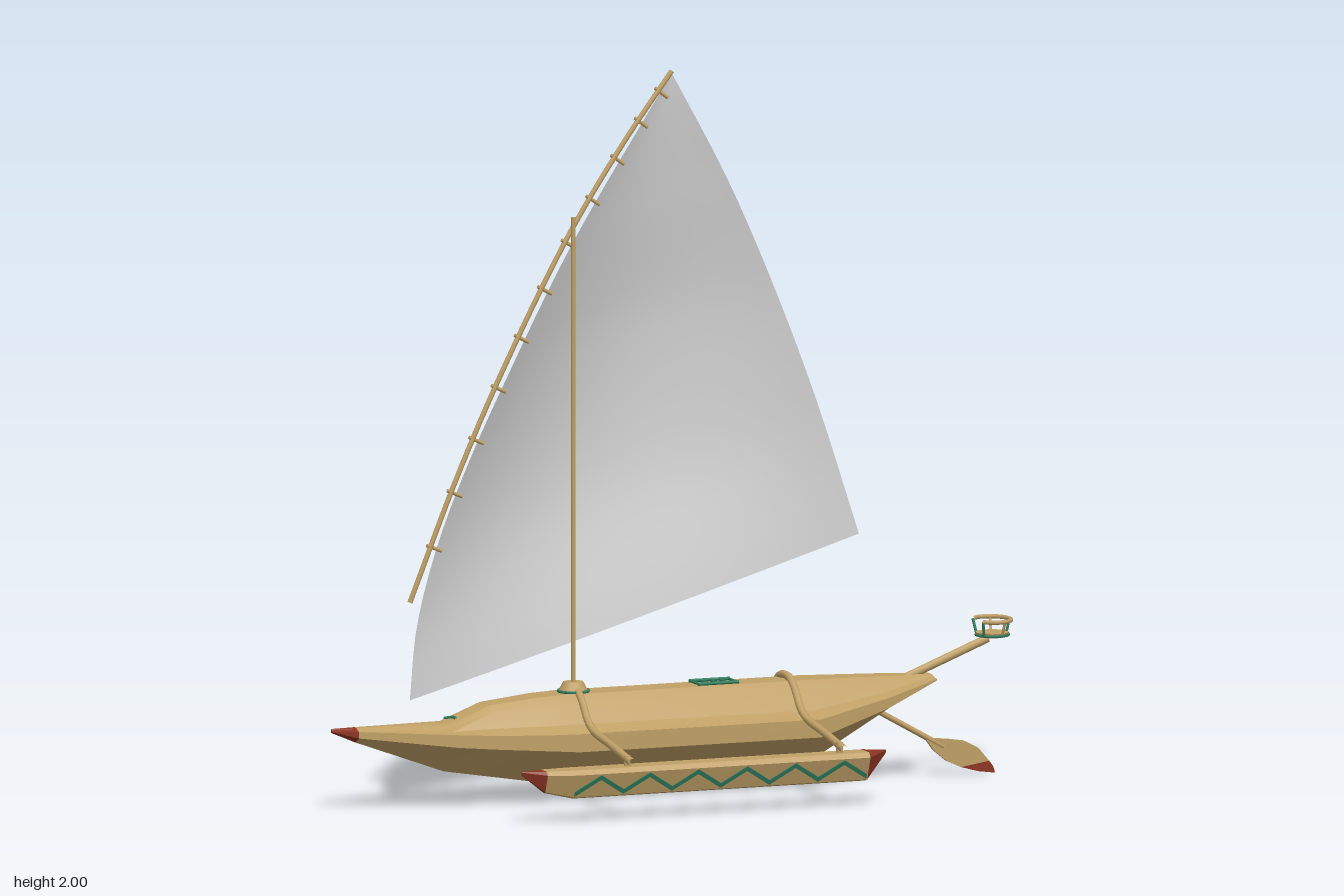
import * as THREE from 'three';
import { toCreasedNormals } from 'three/addons/utils/BufferGeometryUtils.js';

const paint = (name, color) => Object.assign(new THREE.MeshStandardMaterial({ color }), { name });
const V = (x, y, z) => new THREE.Vector3(x, y, z);
const MID = -0.11; // centre plane of the main hull

// Skin a row of closed rings (ordered along +x) and cap both ends
function loft(rings) {
  const n = rings[0].length, last = (rings.length - 1) * n, index = [];
  for (let i = 0; i < rings.length - 1; i++) {
    for (let j = 0; j < n; j++) {
      const a = i * n + j, b = i * n + (j + 1) % n;
      index.push(a, b, a + n, b, b + n, a + n);
    }
  }
  for (let j = 1; j < n - 1; j++) {
    index.push(0, j + 1, j);
    index.push(last, last + j, last + j + 1);
  }
  const g = new THREE.BufferGeometry();
  g.setAttribute('position', new THREE.Float32BufferAttribute(rings.flat(2), 3));
  g.setIndex(index);
  return toCreasedNormals(g, 0.45);
}

// Mirror a half profile [halfWidth, y] (keel first) into a full ring
function ring(x, z, half) {
  const up = half.map(([w, y]) => [x, y, z - w]);
  const down = half.slice(1).reverse().map(([w, y]) => [x, y, z + w]);
  return [...up, ...down];
}

const hullRing = ([x, w, keel, chine, rail, deck]) => {
  const h = (t) => rail + (deck - rail) * t;
  return ring(x, MID, [[0, keel], [w, chine], [w, rail], [w * 0.68, h(0.2)], [w * 0.45, h(0.75)], [w * 0.28, deck]]);
};

const floatRing = ([x, w, low, high]) => {
  const h = (t) => low + (high - low) * t;
  return ring(x, 0.29, [[0, low], [w * 0.375, h(0.06)], [w, h(0.84)], [w * 0.75, high]]);
};

export function createModel() {
  const boat = new THREE.Group();
  boat.name = 'outriggerBoat';
  const wood = paint('wood', 0xc0a066);
  const red = paint('redPaint', 0x8c3422);
  const green = paint('greenPaint', 0x2f7d5f);
  const cloth = paint('sailCloth', 0xdcdcdc);
  cloth.side = THREE.DoubleSide;

  const add = (name, geometry, material, parent = boat) => {
    const mesh = new THREE.Mesh(geometry, material);
    mesh.name = name;
    parent.add(mesh);
    return mesh;
  };
  const tube = (name, points, r, material = wood, steps = 24) =>
    add(name, new THREE.TubeGeometry(new THREE.CatmullRomCurve3(points), steps, r, 8), material);
  const rod = (name, a, b, r, material = wood) => {
    const m = add(name, new THREE.CylinderGeometry(r, r, a.distanceTo(b), 8), material);
    m.position.copy(a).lerp(b, 0.5);
    m.quaternion.setFromUnitVectors(V(0, 1, 0), b.clone().sub(a).normalize());
    return m;
  };

  // Main hull: x, half width, keel, chine, rail and deck heights
  const hull = [
    [-1, 0.004, 0.225, 0.228, 0.232, 0.236],
    [-0.93, 0.03, 0.195, 0.21, 0.228, 0.236],
    [-0.67, 0.105, 0.10, 0.18, 0.215, 0.235],
    [-0.55, 0.122, 0.08, 0.17, 0.208, 0.28],
    [-0.4, 0.145, 0.055, 0.16, 0.205, 0.295],
    [-0.33, 0.155, 0.045, 0.155, 0.205, 0.298],
    [0.38, 0.155, 0.05, 0.155, 0.205, 0.298],
    [0.6, 0.1, 0.182, 0.215, 0.243, 0.293],
    [0.76, 0.055, 0.272, 0.276, 0.28, 0.288],
  ].map(hullRing);
  add('hull', loft(hull.slice(1)), wood);
  add('bowTip', loft(hull.slice(0, 2)), red);

  // Outrigger float with painted ends
  const float = [
    [-0.6, 0.003, 0.142, 0.152],
    [-0.535, 0.03, 0.09, 0.152],
    [-0.45, 0.04, 0.07, 0.152],
    [0.41, 0.04, 0.07, 0.152],
    [0.47, 0.003, 0.142, 0.152],
  ].map(floatRing);
  add('outriggerFloat', loft(float.slice(1, 4)), wood);
  add('floatFrontTip', loft(float.slice(0, 2)), red);
  add('floatRearTip', loft(float.slice(3)), red);

  // Zigzag band on the outer face of the float
  const peaks = [];
  for (let i = 0; i <= 12; i++) peaks.push([-0.452 + i * 0.0715, i % 2 ? 0.052 : 0.004]);
  const outline = [...peaks.map(([x, y]) => [x, y + 0.014]), ...peaks.reverse()];
  const zigzag = new THREE.Shape(outline.map(([x, y]) => new THREE.Vector2(x, y)));
  const band = add('floatZigzag', new THREE.ExtrudeGeometry(zigzag, { depth: 0.003, bevelEnabled: false }), green);
  band.rotation.x = 0.37;
  band.position.set(0, 0.075, 0.305);

  // Cross beams lashed over the deck, each with a strut at the float
  for (const x of [-0.29, 0.335]) {
    tube('crossBeam', [
      V(x, 0.165, 0.325), V(x, 0.19, 0.18), V(x, 0.213, 0.04), V(x, 0.235, 0), V(x, 0.285, -0.045),
      V(x, 0.306, -0.08), V(x, 0.306, -0.14), V(x, 0.285, -0.175), V(x, 0.235, -0.22), V(x, 0.205, -0.267),
    ], 0.011, wood, 40);
    rod('beamStrut', V(x, 0.14, 0.29), V(x, 0.18, 0.29), 0.01);
  }

  // Mast and its step
  rod('mast', V(-0.29, 0.3, -0.105), V(-0.29, 1.61, -0.105), 0.0065);
  const step = add('mastStep', new THREE.CylinderGeometry(0.028, 0.044, 0.03, 12), wood);
  step.position.set(-0.29, 0.312, -0.105);
  const stepRing = add('mastStepRing', new THREE.TorusGeometry(0.042, 0.004, 6, 20), green);
  stepRing.rotation.x = Math.PI / 2;
  stepRing.position.set(-0.29, 0.302, -0.105);

  // Curved yard and sail lashings
  const yard = new THREE.CatmullRomCurve3([
    V(-0.765, 0.57, -0.12), V(-0.63, 0.9, -0.12), V(-0.5, 1.18, -0.12),
    V(-0.3, 1.555, -0.12), V(-0.14, 1.8, -0.12), V(0.005, 1.995, -0.12),
  ]);
  add('yard', new THREE.TubeGeometry(yard, 40, 0.0075, 8), wood);
  for (let i = 0; i < 11; i++) {
    const t = 0.1 + 0.86 * (1 - Math.pow(1 - i / 10, 1.15));
    const p = yard.getPointAt(t), d = yard.getTangentAt(t), side = V(d.y, -d.x, 0);
    rod('sailLashing', p.clone().addScaledVector(side, -0.012), p.clone().addScaledVector(side, 0.035), 0.005);
  }

  // Sail: a patch between luff and leech, sagging at the foot and bellied to -z
  const luff = new THREE.CatmullRomCurve3([
    V(-0.765, 0.3, -0.12), V(-0.745, 0.5, -0.12), V(-0.685, 0.72, -0.12), V(-0.6, 0.93, -0.12),
    V(-0.48, 1.175, -0.12), V(-0.29, 1.53, -0.12), V(0.005, 1.99, -0.12),
  ]);
  const leech = new THREE.CatmullRomCurve3([
    V(0.59, 0.67, -0.205), V(0.46, 1.06, -0.205), V(0.33, 1.39, -0.203), V(0.19, 1.68, -0.175), V(0.005, 1.99, -0.12),
  ]);
  const belly = new THREE.SplineCurve([[0, 0.14], [0.25, 0.163], [0.5, 0.12], [0.75, 0.045], [1, 0]]
    .map(([a, b]) => new THREE.Vector2(a, b)));
  const sail = new THREE.PlaneGeometry(1, 1, 24, 32);
  const pos = sail.attributes.position;
  for (let i = 0; i < pos.count; i++) {
    const u = pos.getX(i) + 0.5, v = pos.getY(i) + 0.5, arc = 4 * u * (1 - u);
    const p = luff.getPointAt(v).lerp(leech.getPointAt(v), u);
    pos.setXYZ(i, p.x, p.y - 0.045 * arc * (1 - v), p.z - belly.getPoint(v).y * arc);
  }
  sail.computeVertexNormals();
  add('sail', sail, cloth);

  // Slatted deck hatch
  for (let i = 0; i < 5; i++) {
    rod('hatchSlat', V(0.07 + i * 0.028, 0.302, -0.145), V(0.07 + i * 0.028, 0.302, -0.08), 0.004, green);
  }
  for (const z of [-0.145, -0.08]) rod('hatchRail', V(0.066, 0.302, z), V(0.186, 0.302, z), 0.005, green);

  // Painted crescent on the foredeck
  tube('foredeckCrescent', [V(-0.655, 0.241, -0.14), V(-0.64, 0.247, -0.11), V(-0.645, 0.245, -0.08)], 0.005, green);

  // Stern boom carrying a small railed seat
  rod('sternBoom', V(0.68, 0.277, MID), V(0.93, 0.375, MID), 0.012);
  const seat = add('sternSeat', new THREE.CylinderGeometry(0.046, 0.042, 0.012, 16), wood);
  seat.position.set(0.944, 0.386, MID);
  const trim = add('seatTrim', new THREE.TorusGeometry(0.045, 0.004, 6, 20), green);
  trim.rotation.x = Math.PI / 2;
  trim.position.set(0.944, 0.385, MID);
  const rail = [];
  for (let i = 0; i <= 8; i++) {
    const a = (i / 8 - 0.5) * 4.9, c = Math.cos(a), s = Math.sin(a);
    rail.push(V(0.942 + 0.052 * c, 0.426, MID + 0.06 * s));
    if (i % 2 === 0) rod('seatPost', V(0.942 + 0.043 * c, 0.385, MID + 0.043 * s), rail[i], 0.004, i % 4 ? wood : green);
  }
  tube('seatRail', rail, 0.006, wood, 32);

  // Steering oar with a painted blade tip
  rod('oarShaft', V(0.55, 0.225, MID), V(0.8, 0.083, MID), 0.008);
  const blade = (name, pts, material) => {
    const g = new THREE.ExtrudeGeometry(new THREE.Shape(pts.map(([x, y]) => new THREE.Vector2(x, y))),
      { depth: 0.012, bevelEnabled: false });
    add(name, g, material).position.z = MID - 0.006;
  };
  blade('oarBlade', [[0.745, 0.11], [0.77, 0.075], [0.81, 0.042], [0.85, 0.024],
    [0.933, 0.037], [0.9, 0.075], [0.86, 0.096], [0.81, 0.104]], wood);
  blade('oarTip', [[0.85, 0.024], [0.9, 0.01], [0.95, 0.003], [0.945, 0.02], [0.933, 0.037]], red);

  return boat;
}
